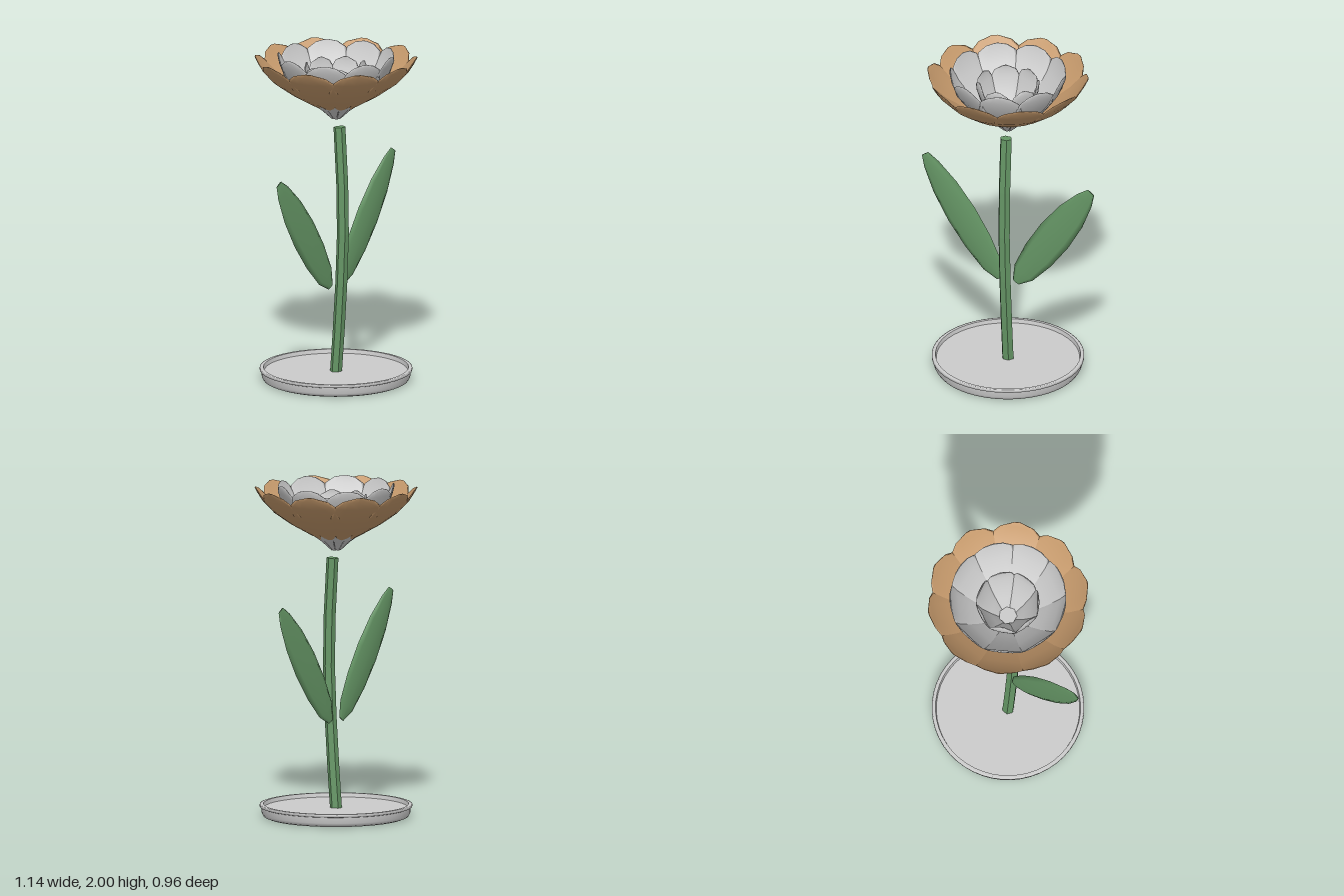
import * as THREE from 'three';

const grey = new THREE.MeshStandardMaterial({ color: 0xcccccc });
const tan = new THREE.MeshStandardMaterial({ color: 0xc69a6c });
const green = new THREE.MeshStandardMaterial({ color: 0x669766 });
const stemGreen = new THREE.MeshStandardMaterial({ color: 0x669766, flatShading: true });

// Closed loft of elliptical sections along a path in the z-y plane.
// Each station is [z, y, halfWidth, halfThickness]; cup bends the edges inwards.
function blade(stations, segs, cup = 0) {
  const pos = [], idx = [], n = stations.length;
  stations.forEach(([z, y, w, th], i) => {
    const a = stations[Math.max(i - 1, 0)], b = stations[Math.min(i + 1, n - 1)];
    const len = Math.hypot(b[0] - a[0], b[1] - a[1]);
    const tz = (b[0] - a[0]) / len, ty = (b[1] - a[1]) / len;
    for (let j = 0; j < segs; j++) {
      const t = (j / segs) * Math.PI * 2, c = Math.cos(t);
      const lift = Math.sin(t) * th + cup * c * c * w;
      pos.push(c * w, y + lift * tz, z - lift * ty);
    }
  });
  for (let i = 0; i < n - 1; i++) {
    for (let j = 0; j < segs; j++) {
      const a = i * segs + j, b = i * segs + (j + 1) % segs;
      idx.push(a, b, a + segs, b, b + segs, a + segs);
    }
  }
  // end caps
  const last = (n - 1) * segs;
  for (let j = 1; j < segs - 1; j++) idx.push(0, j + 1, j, last, last + j, last + j + 1);
  const geo = new THREE.BufferGeometry();
  geo.setAttribute('position', new THREE.Float32BufferAttribute(pos, 3));
  geo.setIndex(idx);
  geo.computeVertexNormals();
  return geo;
}

// Ring of equal petals around the flower's axis
function petalRing(name, count, start, stations, material, cup) {
  const ring = new THREE.Group();
  ring.name = name;
  const geo = blade(stations, 12, cup);
  for (let i = 0; i < count; i++) {
    const petal = new THREE.Mesh(geo, material);
    petal.name = 'petal';
    petal.rotation.y = start + (i / count) * Math.PI * 2;
    ring.add(petal);
  }
  return ring;
}

export function createModel() {
  const model = new THREE.Group();
  model.name = 'flowerOnDish';
  const add = (name, geo, mat) => {
    const mesh = new THREE.Mesh(geo, mat);
    mesh.name = name;
    model.add(mesh);
    return mesh;
  };

  // shallow dish with a lipped rim; doubled points keep edges crisp
  const dish = [
    [0, 0], [0.41, 0], [0.41, 0], [0.43, 0.008], [0.44, 0.025], [0.442, 0.06], [0.442, 0.06],
    [0.452, 0.064], [0.452, 0.078], [0.445, 0.08], [0.445, 0.08], [0.43, 0.08], [0.43, 0.08],
    [0.425, 0.056], [0.425, 0.056], [0, 0.056],
  ].map(([x, y]) => new THREE.Vector2(x, y));
  add('dish', new THREE.LatheGeometry(dish, 48), grey);

  // six-sided stem, bowed gently forwards
  const stem = [[0, 0.05], [0.02, 0.3], [0.04, 0.6], [0.052, 0.9], [0.047, 1.2], [0.026, 1.55]];
  add('stem', blade(stem.map(([z, y]) => [z, y, 0.037, 0.035]), 6), stemGreen);

  // two mirrored leaves
  const leafGeo = blade([
    [0, 0, 0.024, 0.006], [0, 0.09, 0.072, 0.012], [0, 0.26, 0.1, 0.017], [0, 0.45, 0.108, 0.018],
    [0, 0.64, 0.093, 0.015], [0, 0.8, 0.057, 0.01], [0, 0.875, 0.026, 0.005],
  ], 8);
  for (const side of [1, -1]) {
    const leaf = add(side > 0 ? 'leftLeaf' : 'rightLeaf', leafGeo, green);
    leaf.position.set(side * 0.052, 0.58, 0);
    leaf.rotation.z = -side * 0.602;
  }

  // flower head: three nested rings of petals
  const flower = new THREE.Group();
  flower.name = 'flowerHead';
  flower.add(petalRing('outerPetals', 10, 0, [
    [0.09, 1.665, 0.012, 0.004], [0.15, 1.7, 0.05, 0.008], [0.26, 1.765, 0.115, 0.01],
    [0.36, 1.835, 0.15, 0.01], [0.43, 1.905, 0.15, 0.008], [0.462, 1.95, 0.1, 0.006],
    [0.48, 1.975, 0.02, 0.003],
  ], tan, 0.08));
  flower.add(petalRing('middlePetals', 9, Math.PI / 9 - 0.04, [
    [0.03, 1.605, 0.01, 0.004], [0.08, 1.655, 0.028, 0.007], [0.15, 1.71, 0.075, 0.009],
    [0.23, 1.785, 0.115, 0.01], [0.3, 1.875, 0.13, 0.009], [0.332, 1.95, 0.115, 0.007],
    [0.342, 1.985, 0.065, 0.005], [0.342, 1.997, 0.015, 0.003],
  ], grey, 0.06));
  flower.add(petalRing('innerPetals', 7, 0.1, [
    [0.025, 1.6, 0.01, 0.004], [0.05, 1.65, 0.03, 0.007], [0.1, 1.715, 0.062, 0.009],
    [0.145, 1.79, 0.085, 0.01], [0.172, 1.865, 0.088, 0.009], [0.18, 1.91, 0.065, 0.006],
    [0.176, 1.935, 0.015, 0.004],
  ], grey, 0.06));

  // seven-sided heart of the flower
  const heart = new THREE.Mesh(new THREE.CylinderGeometry(0.055, 0.025, 0.06, 7), grey);
  heart.name = 'heart';
  heart.position.y = 1.64;
  flower.add(heart);
  model.add(flower);

  return model;
}
